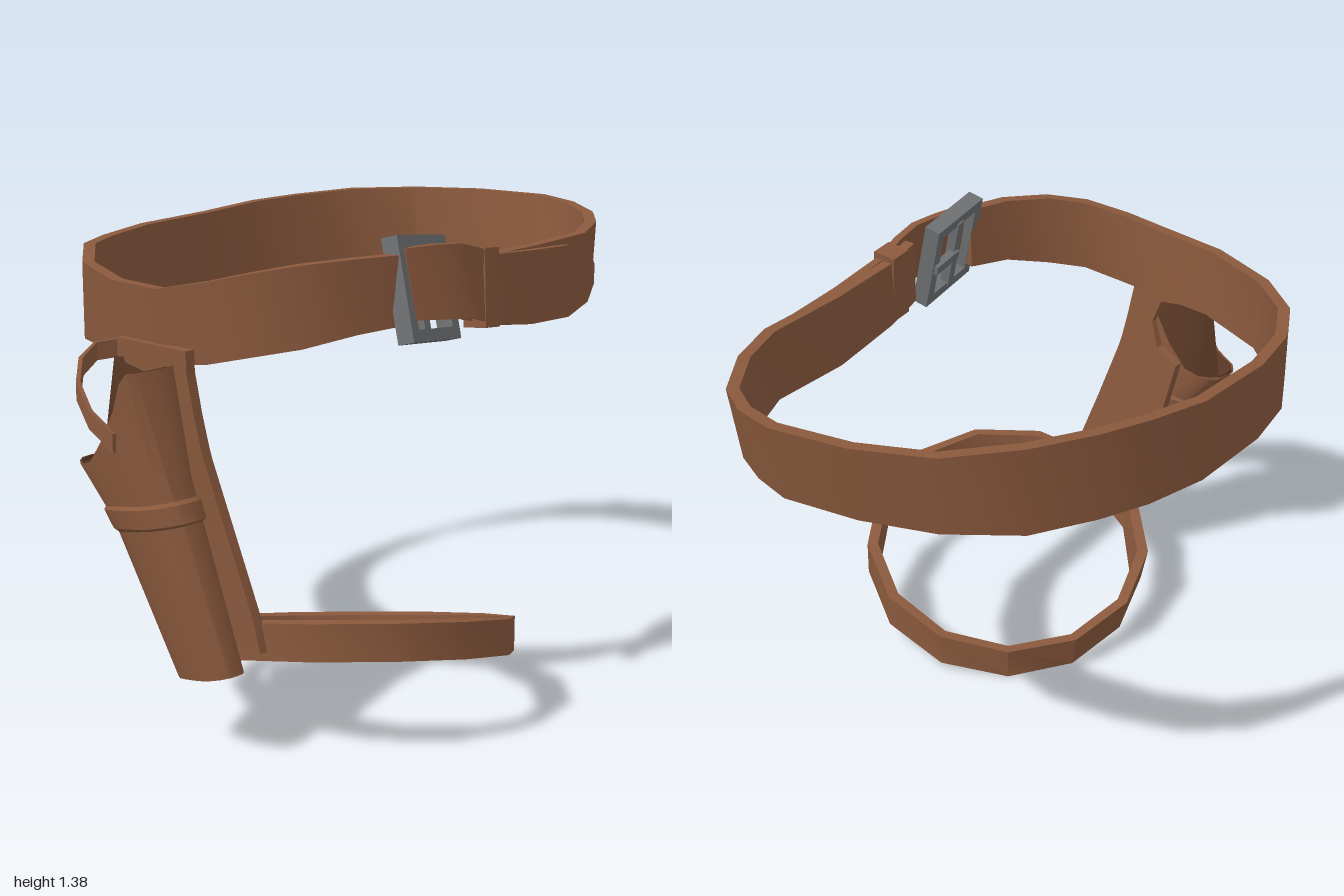
import * as THREE from 'three';
import { toCreasedNormals } from 'three/addons/utils/BufferGeometryUtils.js';

const leather = new THREE.MeshStandardMaterial({ color: 0x8a593d, side: THREE.DoubleSide });
const darkLeather = new THREE.MeshStandardMaterial({ color: 0x5c3a26, side: THREE.DoubleSide });
const steel = new THREE.MeshStandardMaterial({ color: 0x6e7072 });

// Skin a row of equal-sized rings of points; a closed path joins its ends.
function loft(rings, closedPath, caps = !closedPath) {
  const pos = [], n = rings[0].length, m = rings.length;
  const tri = (...p) => p.forEach(v => pos.push(v[0], v[1], v[2]));
  for (let i = 0; i < (closedPath ? m : m - 1); i++) {
    const A = rings[i], B = rings[(i + 1) % m];
    for (let k = 0; k < n; k++) {
      const j = (k + 1) % n;
      tri(A[k], A[j], B[j]);
      tri(A[k], B[j], B[k]);
    }
  }
  if (caps) for (let k = 1; k < n - 1; k++) {
    tri(rings[0][0], rings[0][k + 1], rings[0][k]);
    tri(rings[m - 1][0], rings[m - 1][k], rings[m - 1][k + 1]);
  }
  const g = new THREE.BufferGeometry();
  g.setAttribute('position', new THREE.Float32BufferAttribute(pos, 3));
  return toCreasedNormals(g, 0.5);
}

// Flat strap through outer points [x, z, yBottom, yTop, lean], clockwise from above.
function strap(pts, thick, closed) {
  const m = pts.length;
  return loft(pts.map(([x, z, yb, yt, lean = 0], i) => {
    const a = pts[closed ? (i + m - 1) % m : Math.max(i - 1, 0)];
    const b = pts[closed ? (i + 1) % m : Math.min(i + 1, m - 1)];
    const len = Math.hypot(b[0] - a[0], b[1] - a[1]);
    const nx = (b[1] - a[1]) / len, nz = (a[0] - b[0]) / len;
    const at = (y, d) => [x - nx * d, y, z - nz * d];
    return [at(yb, lean), at(yt, 0), at(yt, thick), at(yb, lean + thick)];
  }), closed);
}

// Pouch cross-sections: y, centre x, radius x, centre z, radius z, roundness (1 = ellipse)
const pouch = [
  [1.05, -0.89, 0.108, 0.01, 0.135, 0.55],
  [0.76, -0.872, 0.093, 0.04, 0.185, 0.8],
  [0.62, -0.86, 0.08, 0.12, 0.152, 0.85],
  [0.2, -0.818, 0.06, 0.278, 0.113, 0.85],
];
function pouchPoint(a, y, grow = 0) {
  let i = 0;
  while (i < pouch.length - 2 && y < pouch[i + 1][0]) i++;
  const t = (y - pouch[i][0]) / (pouch[i + 1][0] - pouch[i][0]);
  const [, cx, rx, cz, rz, p] = pouch[i].map((v, k) => THREE.MathUtils.lerp(v, pouch[i + 1][k], t));
  const round = v => Math.sign(v) * Math.abs(v) ** p;
  return [cx + (rx + grow) * round(Math.cos(a)), y, cz + (rz + grow) * round(Math.sin(a))];
}

export function createModel() {
  const model = new THREE.Group();
  const add = (name, geo, mat = leather, parent = model) => {
    const mesh = new THREE.Mesh(geo, mat);
    mesh.name = name;
    parent.add(mesh);
    return mesh;
  };

  // Waist belt, open between the buckle and the keeper
  add('waistBelt', strap([
    [-0.345, 0.52, 1.14, 1.33], [-0.48, 0.485, 1.13, 1.33], [-0.61, 0.41, 1.1, 1.32],
    [-0.7, 0.32, 1.08, 1.3], [-0.76, 0.2, 1.05, 1.27, 0.01], [-0.797, 0.05, 1.03, 1.24, 0.02],
    [-0.78, -0.15, 1.03, 1.24, 0.01],
    [-0.68, -0.4, 1.03, 1.25], [-0.53, -0.58, 1.04, 1.27], [-0.38, -0.675, 1.04, 1.27],
    [-0.18, -0.735, 1.05, 1.28], [0.1, -0.755, 1.05, 1.29], [0.3, -0.735, 1.06, 1.31],
    [0.46, -0.695, 1.07, 1.32], [0.65, -0.62, 1.08, 1.33], [0.83, -0.485, 1.1, 1.33, 0.02],
    [0.94, -0.29, 1.1, 1.33, 0.04], [0.995, -0.06, 1.1, 1.325, 0.04], [0.97, 0.08, 1.1, 1.315, 0.04],
    [0.9, 0.21, 1.09, 1.3, 0.03], [0.75, 0.335, 1.08, 1.295, 0.01], [0.58, 0.42, 1.07, 1.285],
    [0.3, 0.455, 1.06, 1.28], [0.05, 0.495, 1.085, 1.285], [-0.07, 0.51, 1.12, 1.31],
  ], 0.035, false));

  // Loose end of the belt, passing through the buckle
  add('beltTongue', strap([
    [0.61, 0.437, 1.13, 1.19], [0.57, 0.445, 1.08, 1.24], [0.46, 0.458, 1.05, 1.265],
    [0.25, 0.485, 1.06, 1.275], [0.04, 0.52, 1.09, 1.29], [-0.05, 0.535, 1.12, 1.32, -0.02],
    [-0.13, 0.54, 1.14, 1.34, -0.04], [-0.22, 0.53, 1.15, 1.345, -0.05],
    [-0.33, 0.515, 1.16, 1.345, -0.05],
  ], 0.025, false));
  const keeper = add('beltKeeper', new THREE.BoxGeometry(0.07, 0.22, 0.075));
  keeper.position.set(0, 1.2, 0.502);
  keeper.rotation.set(-0.1, 0.12, -0.08);

  // Buckle: square frame, centre bar and prong
  const buckle = new THREE.Group();
  buckle.name = 'buckle';
  const frame = new THREE.Shape([[-0.123, -0.143], [0.123, -0.143], [0.123, 0.143], [-0.123, 0.143]]
    .map(p => new THREE.Vector2(...p)));
  frame.holes.push(new THREE.Path([[-0.088, -0.11], [-0.088, 0.11], [0.088, 0.11], [0.088, -0.11]]
    .map(p => new THREE.Vector2(...p))));
  const frameGeo = new THREE.ExtrudeGeometry(frame, { depth: 0.05, bevelEnabled: false });
  add('buckleFrame', frameGeo.translate(0, 0, -0.025), steel, buckle);
  add('buckleBar', new THREE.BoxGeometry(0.03, 0.24, 0.03).translate(0, 0, -0.015), steel, buckle);
  add('buckleProng', new THREE.BoxGeometry(0.12, 0.03, 0.025).translate(0.055, 0, -0.025), steel, buckle);
  buckle.position.set(-0.245, 1.225, 0.5);
  buckle.rotation.set(-0.27, 0.2, -0.06);
  model.add(buckle);

  // Thigh loop, tilted down to the rear and inner side
  const ring = [];
  for (let i = 0; i < 13; i++) {
    const a = (i / 13) * Math.PI * 2 + Math.PI;
    const dx = 0.46 * Math.cos(a), dz = 0.468 * Math.sin(a), y = 0.2 - 0.22 * dx + 0.22 * dz;
    ring.push([-0.28 + dx, 0.285 + dz, y - 0.053, y + 0.053, 0.025 * Math.max(0, -Math.sin(a))]);
  }
  add('thighLoop', strap(ring, 0.035, true));

  // Drop panel from belt to thigh loop: y, front z, rear z, x
  const panel = [
    [1.09, 0.17, -0.11, -0.782], [1.03, 0.17, -0.11, -0.78], [1, 0.175, 0.06, -0.778],
    [0.92, 0.19, 0.09, -0.775], [0.84, 0.205, 0.06, -0.768], [0.8, 0.215, -0.02, -0.765],
    [0.6, 0.28, 0.02, -0.745], [0.38, 0.36, 0.09, -0.73], [0.29, 0.38, 0.12, -0.725],
  ];
  add('dropPanel', loft(panel.map(([y, zf, zr, x]) => [
    [x + 0.012, y, zr], [x + 0.012, y, zf], [x - 0.018, y, zf], [x - 0.018, y, zr],
  ]), false));

  // Tapered pouch: high front wall, mouth cut low at the rear; dark lining stands tall on the inner side
  const N = 20, angles = Array.from({ length: N }, (_, k) => (k / N) * Math.PI * 2);
  const rim = a => 1.05 - 0.28 * THREE.MathUtils.smoothstep(-Math.sin(a), -0.85, 0.5);
  const liningRim = a => (Math.cos(a) > 0.4 ? 1.04 : rim(a));
  const shell = (top, grow) => loft(
    [top, () => 0.76, () => 0.62, () => 0.42, a => 0.225 + 0.025 * Math.sin(a)]
      .map(f => angles.map(a => pouchPoint(a, f(a), grow))), false, false);
  add('holsterPouch', shell(rim, 0));
  add('pouchLining', shell(liningRim, -0.006), darkLeather);

  // Raised band around the pouch
  add('pouchBand', loft(angles.map(a => {
    const y = 0.65 + 0.035 * Math.sin(a);
    return [pouchPoint(a, y - 0.024, 0.01), pouchPoint(a, y + 0.024, 0.01),
      pouchPoint(a, y + 0.035, -0.003), pouchPoint(a, y - 0.035, -0.003)];
  }), true));

  // Retaining strap arching around the rear of the mouth
  add('retainingStrap', strap([
    [-0.995, 0.1, 0.84, 0.89], [-1, 0.01, 0.89, 0.94], [-0.975, -0.07, 0.95, 1],
    [-0.92, -0.125, 1, 1.05], [-0.85, -0.145, 1.03, 1.08], [-0.775, -0.12, 1.035, 1.085],
  ], 0.012, false));

  return model;
}
